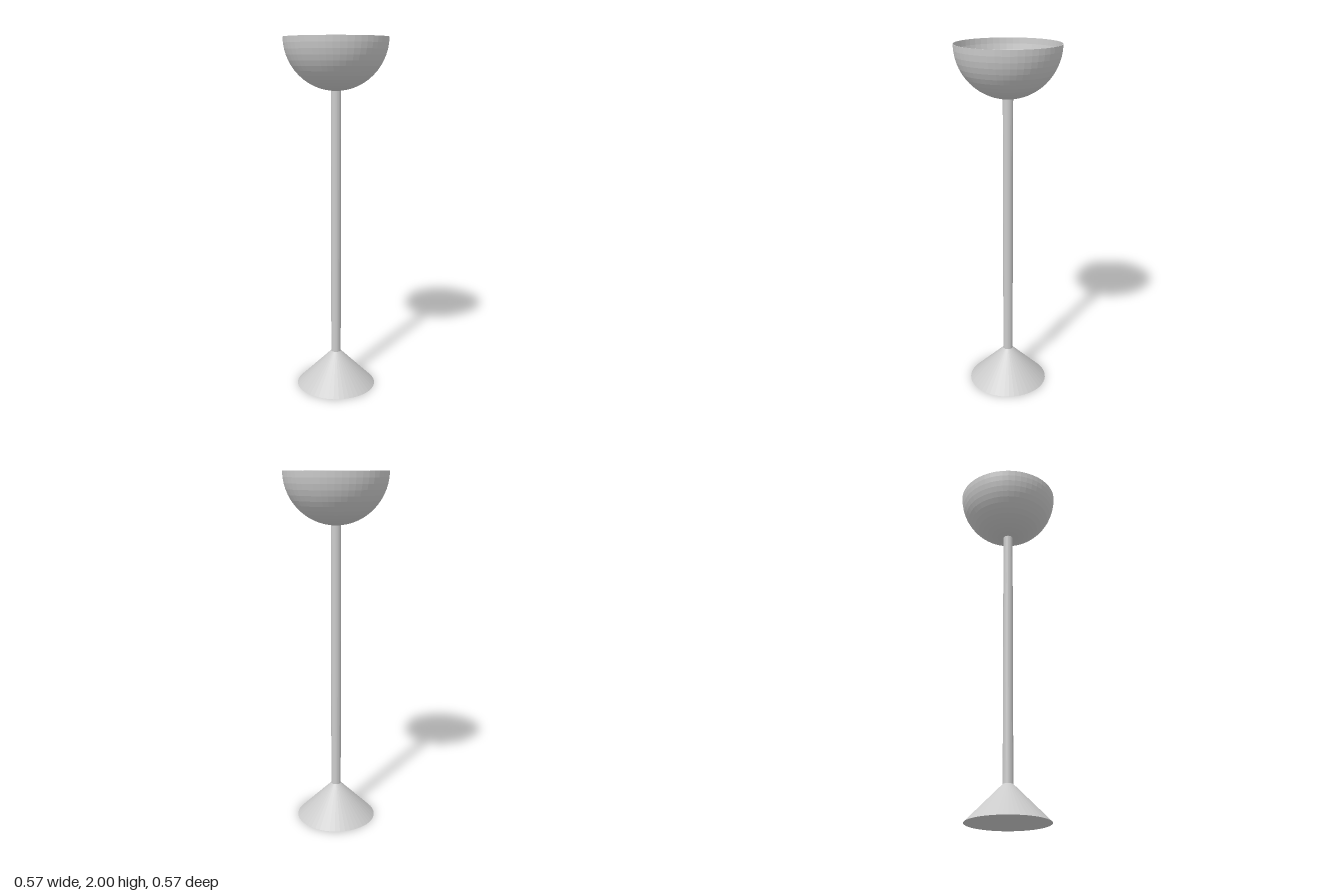
import * as THREE from 'three';

const SIDES = 48;
const material = new THREE.MeshStandardMaterial({ color: 0xcccccc, flatShading: true });

function addPart(group, name, geometry, y = 0) {
  const mesh = new THREE.Mesh(geometry, material);
  mesh.name = name;
  mesh.position.y = y;
  group.add(mesh);
}

// Quarter circle from the bottom pole up to the rim
function quarterArc(radius, steps) {
  return Array.from({ length: steps + 1 }, (_, i) => {
    const a = (i / steps) * Math.PI / 2;
    return new THREE.Vector2(radius * Math.sin(a), -radius * Math.cos(a));
  });
}

export function createModel() {
  const group = new THREE.Group();
  const stemRadius = 0.028, baseHeight = 0.2, stemTop = 1.719;

  // Conical foot with a flat underside
  addPart(group, 'base', new THREE.CylinderGeometry(stemRadius, 0.228, baseHeight, SIDES), baseHeight / 2);

  // Slim stem, its flat end just showing inside the bowl
  const stemLength = stemTop - baseHeight;
  addPart(group, 'stem', new THREE.CylinderGeometry(stemRadius, stemRadius, stemLength, SIDES), baseHeight + stemLength / 2);

  // Thin-walled hemispherical bowl: outside up, over the rim, inside down
  const profile = [...quarterArc(0.286, 14), ...quarterArc(0.283, 14).reverse()];
  addPart(group, 'bowl', new THREE.LatheGeometry(profile, SIDES), 2);

  return group;
}
